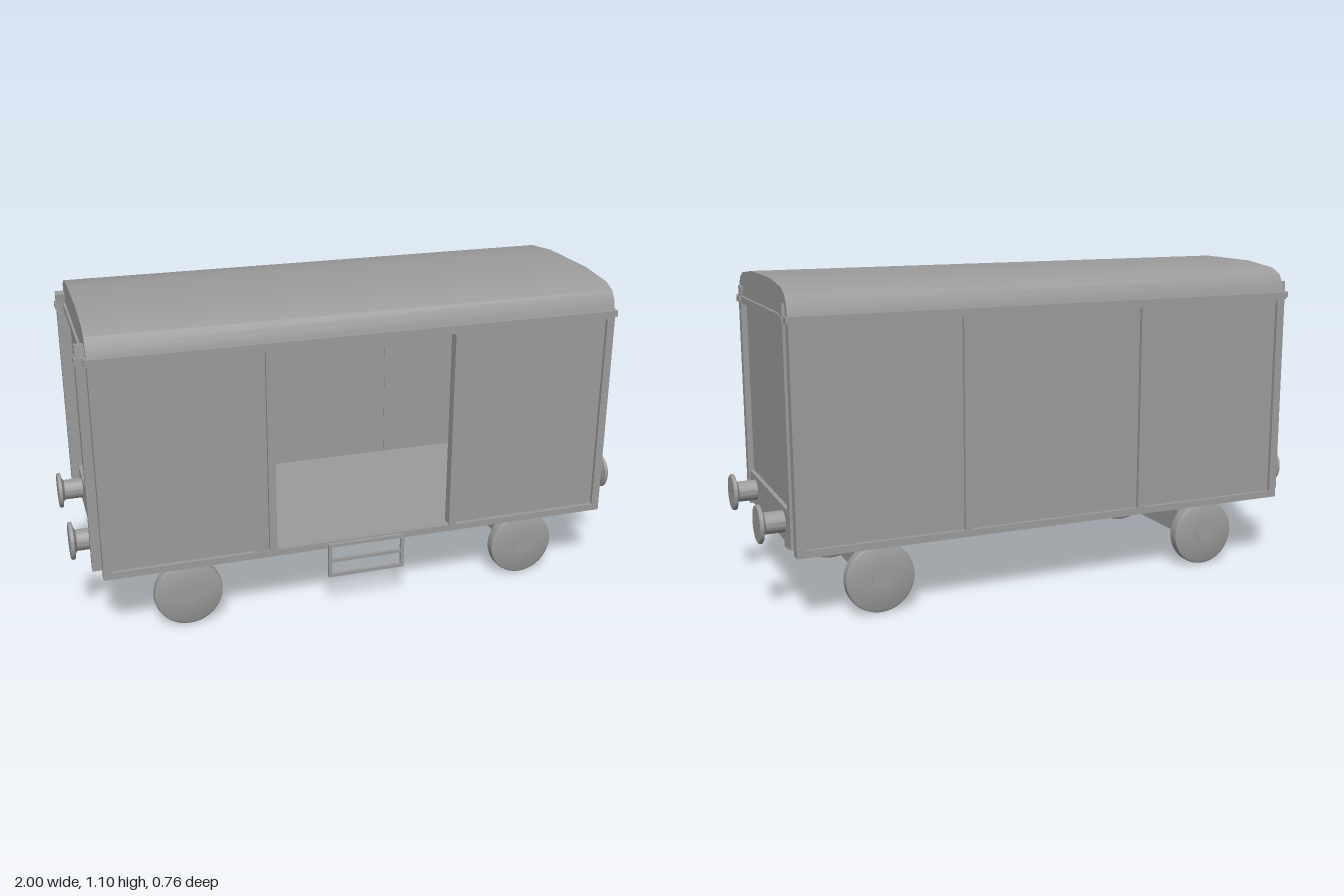
import * as THREE from 'three';
import { toCreasedNormals } from 'three/addons/utils/BufferGeometryUtils.js';

const grey = new THREE.MeshStandardMaterial({ color: 0x9b9b9b });

export function createModel() {
  const wagon = new THREE.Group();
  wagon.name = 'coveredWagon';
  const body = new THREE.Group();
  body.name = 'wagonBody';
  body.position.z = -0.005;
  wagon.add(body);

  const add = (name, geometry, x = 0, y = 0, z = 0, parent = body) => {
    const mesh = new THREE.Mesh(geometry, grey);
    mesh.name = name;
    mesh.position.set(x, y, z);
    parent.add(mesh);
    return mesh;
  };
  // Box given by its limits on each axis
  const box = (name, [x0, x1], [y0, y1], [z0, z1], parent = body) =>
    add(name, new THREE.BoxGeometry(x1 - x0, y1 - y0, z1 - z0),
      (x0 + x1) / 2, (y0 + y1) / 2, (z0 + z1) / 2, parent);
  // The same limits on the + side or - side of an axis
  const span = (s, a, b) => (s > 0 ? [a, b] : [-b, -a]);
  const lathe = (points) => toCreasedNormals(
    new THREE.LatheGeometry(points.map(([r, h]) => new THREE.Vector2(r, h)), 40), 0.6);
  const extrude = (points, depth) => new THREE.ExtrudeGeometry(
    new THREE.Shape(points.map(([x, y]) => new THREE.Vector2(x, y))), { depth, bevelEnabled: false });

  // Floor
  box('floor', [-0.9, 0.9], [0.25, 0.263], [-0.36, 0.36]);

  // Side walls with raised framing; the front doorway stands open
  for (const s of [1, -1]) {
    const panels = s > 0 ? [[-0.9, -0.33], [0.325, 0.9]] : [[-0.9, 0.9]];
    for (const p of panels) box('sidePanel', p, [0.25, 0.99], span(s, 0.335, 0.358));
    const frameZ = span(s, 0.333, 0.371);
    box('sideSill', [-0.909, 0.909], [0.238, 0.262], frameZ);
    box('sideTopRail', [-0.909, 0.909], [0.974, 0.99], frameZ);
    for (const [a, b] of [[-0.909, -0.881], [-0.345, -0.319], [0.313, 0.338], [0.881, 0.909]])
      box('sidePost', [a, b], [0.26, 0.98], frameZ);
  }

  // Diagonal brace on the front panel
  const bracePoints = [[-0.88, 0.98], [-0.392, 0.26], [-0.343, 0.26], [-0.835, 0.98]];
  add('diagonalBrace', extrude(bracePoints, 0.016), 0, 0, 0.352);

  // End walls, posts, lamp brackets, buffer beams and buffers
  const bufferProfile = [[0, -0.03], [0.036, -0.03], [0.036, 0.057], [0.045, 0.063], [0.062, 0.066],
    [0.064, 0.068], [0.064, 0.076], [0.06, 0.08], [0, 0.08]];
  for (const e of [1, -1]) {
    const reach = e > 0 ? 0.918 : 0.94;
    box('endPanel', span(e, 0.88, 0.898), [0.255, 0.99], [-0.34, 0.34]);
    box('bufferBeam', span(e, 0.89, 0.912), [0.257, 0.372], [-0.298, 0.298]);
    for (const s of [1, -1]) {
      box('endPost', span(e, 0.89, reach), [0.257, 0.99], span(s, 0.298, 0.332));
      box('postCap', span(e, 0.89, reach + 0.005), [0.982, 1.002], span(s, 0.298, 0.345));
      const bracket = box('lampBracket', span(e, 0.9, reach), [0.985, 1.038], span(s, 0.298, 0.333));
      bracket.rotation.x = -s * 0.1;
      const buffer = add('buffer', lathe(bufferProfile), e * 0.92, 0.32, s * 0.211);
      buffer.rotation.z = -e * Math.PI / 2;
    }
  }

  // Eave and curved roof
  box('eave', [-0.917, 0.917], [0.98, 1.003], [-0.374, 0.374]);
  const half = [[0.363, 1.0], [0.355, 1.038], [0.337, 1.067], [0.292, 1.087], [0.14, 1.103]];
  const arch = [...half, ...half.map(([z, y]) => [-z, y]).reverse()];
  const roof = add('roof', toCreasedNormals(extrude(arch, 1.818), 0.5), -0.909);
  roof.rotation.y = Math.PI / 2;

  // Underframe beams
  for (const s of [1, -1])
    box('underframeBeam', [-0.905, 0.905], [0.228, 0.255], span(s, 0.185, 0.234));

  // Wheelsets: square axle, carrier plate and two wheels with hubs
  const wheelProfile = [[0, -0.023], [0.109, -0.023], [0.117, -0.018], [0.119, -0.01],
    [0.119, 0.01], [0.117, 0.018], [0.109, 0.023], [0.03, 0.023], [0.03, 0.026], [0, 0.026]];
  const carrier = [[-0.188, 0.255], [-0.188, 0.095], [-0.18, 0.085],
    [0.18, 0.085], [0.188, 0.095], [0.188, 0.255]];
  for (const x of [-0.623, 0.623]) {
    const set = new THREE.Group();
    set.name = 'wheelset';
    set.position.x = x;
    body.add(set);
    box('axle', [-0.026, 0.026], [0.096, 0.148], [-0.3, 0.3], set);
    const plate = add('axleCarrier', extrude(carrier, 0.054), -0.027, 0, 0, set);
    plate.rotation.y = Math.PI / 2;
    for (const s of [1, -1]) {
      const wheel = add('wheel', lathe(wheelProfile), 0, 0.12, s * 0.309, set);
      wheel.rotation.x = s * Math.PI / 2;
    }
  }

  // Boarding step below the doorway
  const step = new THREE.Group();
  step.name = 'boardingStep';
  body.add(step);
  const stepZ = [0.371, 0.384];
  for (const s of [1, -1]) box('stepHanger', span(s, 0.127, 0.139), [0.13, 0.257], stepZ, step);
  for (const y of [0.13, 0.187, 0.245]) box('stepRung', [-0.139, 0.139], [y, y + 0.012], stepZ, step);

  return wagon;
}
